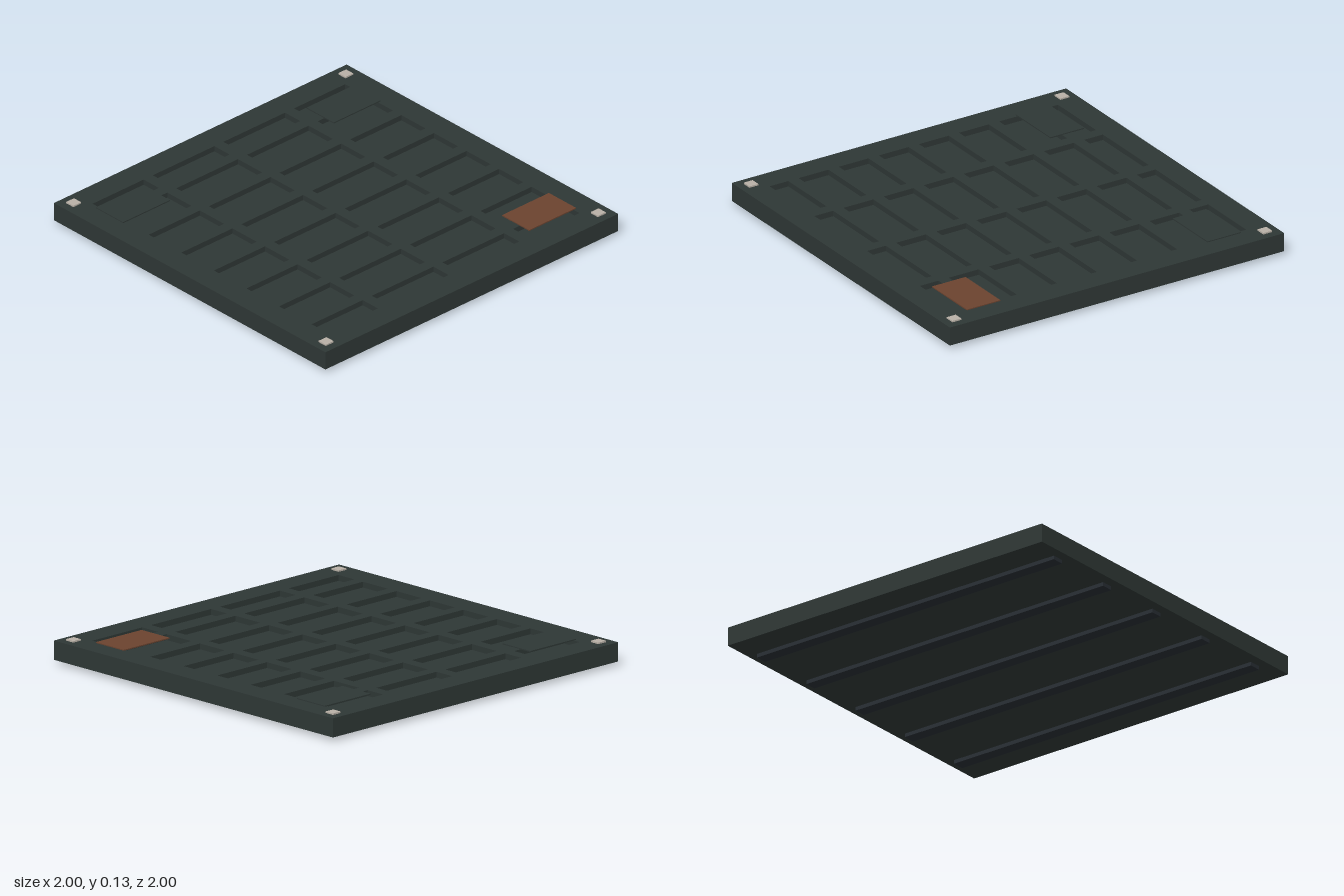
import * as THREE from 'three';

export function createModel() {
  const model = new THREE.Group();
  const material = (name, color) => {
    const m = new THREE.MeshStandardMaterial({ color });
    m.name = name;
    return m;
  };
  const panelColor = material('dark green grey', 0x2e3735);
  const runnerColor = material('dark slate', 0x272d33);
  const rustColor = material('rust', 0x6b432f);
  const studColor = material('pale stone', 0xb8b0a6);

  function box(name, mat, [w, h, d], [x, y, z]) {
    const mesh = new THREE.Mesh(new THREE.BoxGeometry(w, h, d), mat);
    mesh.position.set(x, y, z);
    mesh.name = name;
    model.add(mesh);
  }

  // Solid lower slab, whose top is the floor of the pockets
  box('baseSlab', panelColor, [2, 0.07, 2], [0, 0.055, 0]);

  // Rim and crossing ribs, cut as one grid with rectangular pockets
  const rect = (path, x0, z0, x1, z1) => {
    path.moveTo(x0, z0);
    path.lineTo(x1, z0);
    path.lineTo(x1, z1);
    path.lineTo(x0, z1);
    path.closePath();
    return path;
  };
  const inner = 0.863, halfRib = 0.031;
  const spans = (centres) => {
    const starts = [-inner, ...centres.map((c) => c + halfRib)];
    const ends = [...centres.map((c) => c - halfRib), inner];
    return starts.map((s, i) => [s, ends[i]]);
  };
  const gridShape = rect(new THREE.Shape(), -1, -1, 1, 1);
  for (const [x0, x1] of spans([-0.72, -0.48, -0.24, 0, 0.24, 0.48, 0.72])) {
    for (const [z0, z1] of spans([-0.483, 0, 0.483])) {
      gridShape.holes.push(rect(new THREE.Path(), x0, z0, x1, z1));
    }
  }
  const gridGeometry = new THREE.ExtrudeGeometry(gridShape, { depth: 0.03, bevelEnabled: false });
  gridGeometry.rotateX(Math.PI / 2);
  const grid = new THREE.Mesh(gridGeometry, panelColor);
  grid.name = 'ribbedFrame';
  grid.position.y = 0.12;
  model.add(grid);

  // Thin cover plates over three corners of the grid
  const plate = [0.2, 0.006, 0.32];
  box('backRightCover', panelColor, plate, [-0.72, 0.122, -0.72]);
  box('frontRightCover', panelColor, plate, [-0.72, 0.122, 0.72]);
  box('rustyCover', rustColor, plate, [0.72, 0.122, -0.72]);

  // Corner studs
  for (const x of [-0.93, 0.93]) {
    for (const z of [-0.93, 0.93]) {
      box('cornerStud', studColor, [0.053, 0.012, 0.053], [x, 0.122, z]);
    }
  }

  // Runners under the slab
  for (let i = -2; i <= 2; i++) {
    box('runner', runnerColor, [0.066, 0.022, 1.89], [i * 0.4, 0.011, 0]);
  }
  return model;
}
